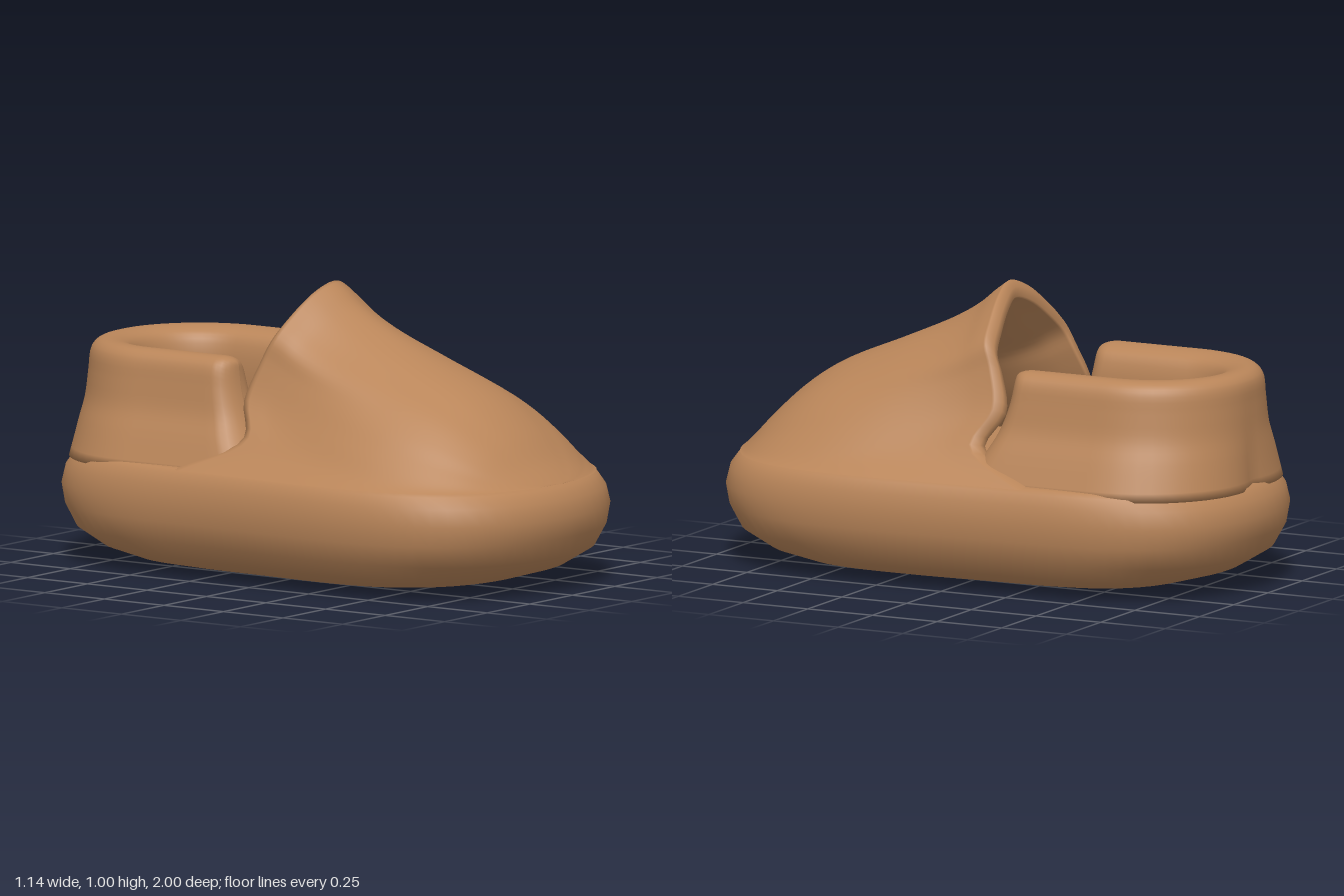
import * as THREE from 'three';

const V = (x, y, z = 0) => new THREE.Vector3(x, y, z);
const spline = (pts) => new THREE.CatmullRomCurve3(pts.map((p) => V(...p)));

// Half width of the footprint at depth z
const halfWidth = (z) =>
  (0.535 + 0.035 * THREE.MathUtils.smoothstep(z, -0.4, 0.4)) *
  Math.sqrt(Math.max(0, 1 - Math.abs(z) ** 5));

// Smooth surface through rows of points
function loft(rows, closed) {
  const n = rows[0].length;
  const index = [];
  for (let i = 0; i < rows.length - 1; i++) {
    for (let j = 0; j < (closed ? n : n - 1); j++) {
      const a = i * n + j, b = i * n + ((j + 1) % n);
      index.push(a, b, a + n, b, b + n, a + n);
    }
  }
  const geo = new THREE.BufferGeometry();
  geo.setAttribute('position', new THREE.Float32BufferAttribute(rows.flat().flatMap((p) => p.toArray()), 3));
  geo.setIndex(index);
  geo.computeVertexNormals();
  return geo;
}

// Cushioned sole: the footprint scaled by height, closed by the insole
function soleGeometry() {
  const levels = [
    [0, 0], [0.4, 0.003], [0.58, 0.013], [0.72, 0.03], [0.845, 0.065], [0.945, 0.125],
    [0.987, 0.2], [1, 0.27], [0.985, 0.33], [0.955, 0.37], [0.925, 0.383], [0.88, 0.386], [0, 0.386],
  ];
  const rows = levels.map(([s, y]) => {
    const ring = [];
    for (let i = 0; i < 80; i++) {
      const a = (i / 80) * Math.PI * 2;
      const z = Math.cos(a);
      ring.push(V(s * Math.sign(Math.sin(a)) * halfWidth(z), y, s * z));
    }
    return ring;
  });
  return loft(rows, true);
}

// Toe cover: a shell from the raised rim to the toe, with a rolled edge
function upperGeometry() {
  const base = 0.38, toe = 0.95, thick = 0.055;
  const mirrored = (half) =>
    spline([...half, ...half.slice(0, -1).reverse().map(([x, y, z]) => [-x, y, z])]);
  // width fraction, height fraction, rim depth
  const rim = mirrored([
    [1, 0, -0.3], [0.81, 0.18, -0.075], [0.66, 0.39, -0.12], [0.57, 0.6, -0.085],
    [0.53, 0.72, -0.055], [0.38, 0.84, -0.035], [0.19, 0.95, -0.015], [0, 1, 0],
  ]);
  const dome = mirrored([
    [1, 0, 0], [0.92, 0.12, 0], [0.8, 0.35, 0], [0.68, 0.56, 0],
    [0.53, 0.75, 0], [0.38, 0.87, 0], [0.2, 0.97, 0], [0, 1, 0],
  ]);
  // depth and height of the centre line
  const ridge = spline([
    [0, 1], [0.04, 0.97], [0.1, 0.92], [0.2, 0.86], [0.4, 0.77], [0.6, 0.685],
    [0.7, 0.625], [0.8, 0.54], [0.88, 0.45], [0.93, 0.4], [0.95, 0.38],
  ]);
  const row = (t, inset, push) => {
    const { x: depth, y: height } = ridge.getPoint(t);
    const k = Math.min(1, depth / toe);
    const blend = THREE.MathUtils.smoothstep(k, 0, 0.6);
    const pts = [];
    for (let j = 0; j <= 64; j++) {
      const r = rim.getPoint(j / 64);
      const f = r.clone().lerp(dome.getPoint(j / 64), blend);
      const z = r.z + (toe - r.z) * k - push * (1 - k);
      const w = Math.max(0, toe * halfWidth(z / toe) - inset);
      pts.push(V(f.x * w, base + f.y * Math.max(0, height - inset - base), z));
    }
    return pts;
  };
  const rows = [];
  const steps = 44;
  for (let i = steps; i >= 0; i--) rows.push(row(i / steps, 0, 0));
  rows.push(row(0, thick * 0.4, 0.025));
  for (let i = 0; i <= steps; i++) rows.push(row(i / steps, thick, 0.03));
  return loft(rows, false);
}

// Padded heel collar: a thick section swept round a U, with rounded ends
function collarGeometry() {
  const r = 0.21, backZ = -0.57, frontZ = -0.25, endLen = 0.06;
  // offset from the inner edge, height, extra flare at the sides
  const section = spline([
    [0.02, 0.36, 0], [0.005, 0.5, 0], [0, 0.66, 0], [0.022, 0.73, 0], [0.075, 0.755, 0], [0.13, 0.753, 0],
    [0.16, 0.725, 0], [0.165, 0.65, 0.01], [0.167, 0.56, 0.025], [0.17, 0.48, 0.055], [0.175, 0.36, 0.095],
  ]).getPoints(40);

  const half = [];
  for (let i = 0; i <= 6; i++) {
    const a = (1 - i / 6) * Math.PI / 2;
    half.push({ x: r, z: frontZ + endLen * Math.sin(a), nx: 1, nz: 0, c: Math.cos(a) });
  }
  for (let i = 1; i < 10; i++) {
    half.push({ x: r, z: frontZ + (backZ - frontZ) * (i / 10), nx: 1, nz: 0, c: 1 });
  }
  for (let i = 0; i <= 14; i++) {
    const a = (i / 14) * Math.PI / 2;
    const nx = Math.cos(a), nz = -Math.sin(a);
    half.push({ x: r * nx, z: backZ + r * nz, nx, nz, c: 1 });
  }
  const stations = [...half, ...half.slice(0, -1).reverse().map((s) => ({ ...s, x: -s.x, nx: -s.nx }))];

  const rows = stations.map((s) => section.map((p) => {
    const side = Math.abs(s.nx);
    const full = p.x * (0.92 + 0.08 * side) + p.z * side;
    const mid = 0.085 + p.z * 0.6;
    const off = mid + (full - mid) * s.c;
    const y = p.y - (1 - s.c) * 0.03;
    // the front ends slope forward toward the sole
    const fade = THREE.MathUtils.clamp((s.z - backZ) / 0.38, 0, 1) ** 2;
    const lean = 0.16 * (Math.max(0, 0.755 - y) / 0.37) ** 2 * fade;
    return V(s.x + s.nx * off, y, s.z + s.nz * off + lean);
  }));
  return loft(rows.reverse(), true);
}

export function createModel() {
  const tan = new THREE.MeshStandardMaterial({ color: 0xb98559, side: THREE.DoubleSide });
  tan.name = 'tan';
  const slipper = new THREE.Group();
  slipper.name = 'slipper';
  const parts = { sole: soleGeometry(), toeUpper: upperGeometry(), heelCollar: collarGeometry() };
  for (const [name, geometry] of Object.entries(parts)) {
    const mesh = new THREE.Mesh(geometry, tan);
    mesh.name = name;
    slipper.add(mesh);
  }
  return slipper;
}
